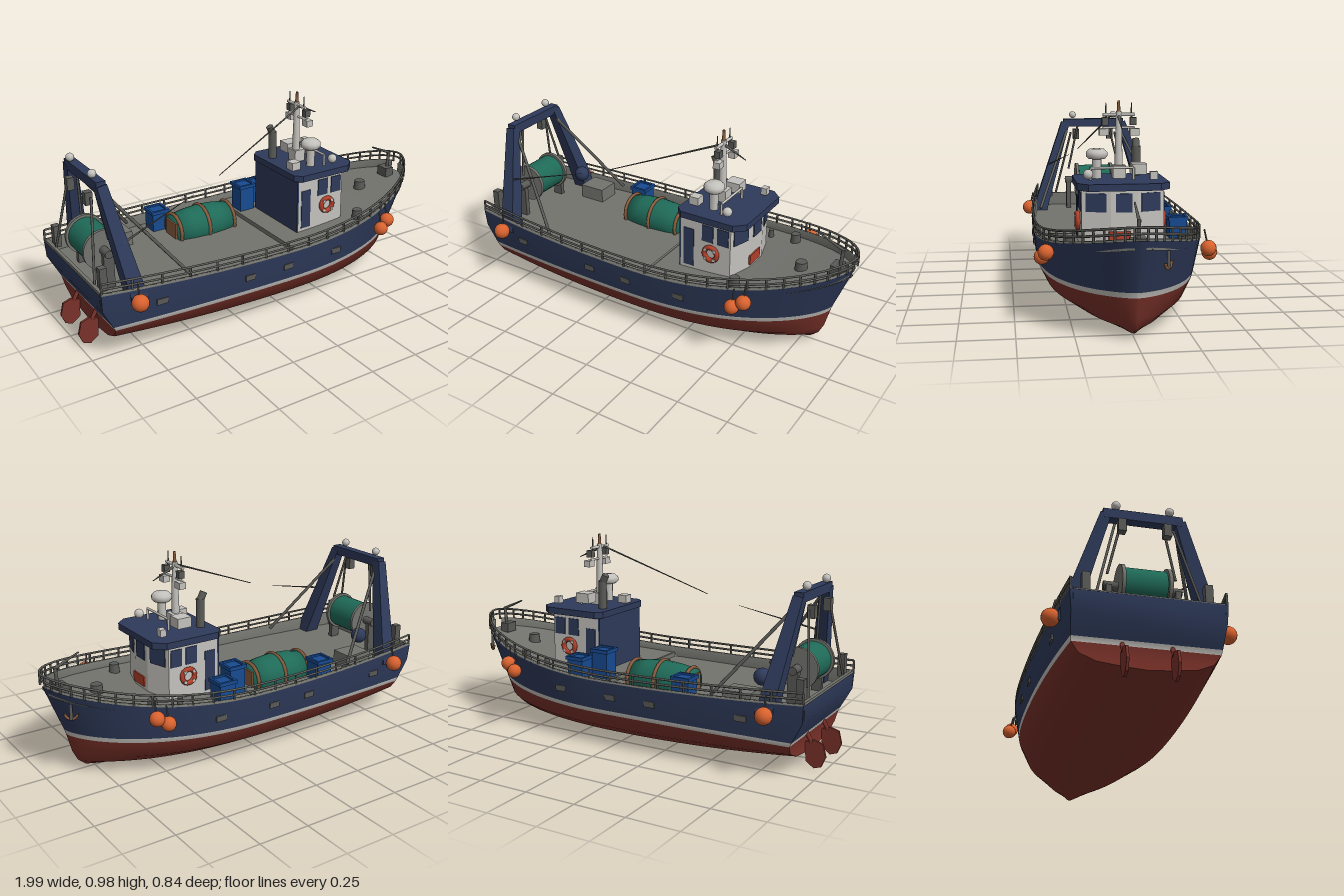
import * as THREE from 'three';

const paint = (name, color, side = THREE.FrontSide) => new THREE.MeshStandardMaterial({ name, color, side });
const V = (x, y, z) => new THREE.Vector3(x, y, z);

// Hull rows from keel to sheer: [xStern, xBow, yStern, yMid, yBow, halfBeam, bowFullness]
const ROWS = [
  [-0.90, 0.76, 0.060, 0.010, 0.015, 0, 0.7],
  [-0.90, 0.80, 0.067, 0.020, 0.020, 0.12, 0.75],
  [-0.90, 0.835, 0.080, 0.045, 0.050, 0.25, 0.75],
  [-0.90, 0.86, 0.110, 0.095, 0.100, 0.335, 0.7],
  [-0.905, 0.885, 0.155, 0.170, 0.197, 0.372, 0.66],
  [-0.915, 0.893, 0.175, 0.190, 0.222, 0.376, 0.65],
  [-0.965, 0.935, 0.270, 0.260, 0.330, 0.387, 0.62],
  [-0.97, 0.985, 0.355, 0.333, 0.460, 0.395, 0.6],
];
const TOP = ROWS.length - 1;

function hullPoint(row, t, side = 1) {
  const [x0, x1, ys, ym, yb, w, q] = ROWS[row];
  const s = Math.abs(2 * t - 1);
  const y = ym + ((t < 0.5 ? ys : yb) - ym) * s * s;
  const f = t < 0.5 ? 1 - 0.16 * s * s : Math.pow(Math.max(0, 1 - Math.pow(s, 2.4)), q);
  return V(x0 + (x1 - x0) * t, y, side * w * f);
}

// Surface over a grid of stations (i) and strips (j), one material group per strip
function grid(ni, nj, point, matOf = () => 0) {
  const pos = [], idx = [], g = new THREE.BufferGeometry();
  for (let i = 0; i <= ni; i++) for (let j = 0; j <= nj; j++) pos.push(...point(i / ni, j).toArray());
  for (let j = 0; j < nj; j++) {
    g.addGroup(idx.length, ni * 6, matOf(j));
    for (let i = 0; i < ni; i++) {
      const a = i * (nj + 1) + j, b = a + nj + 1;
      idx.push(a, b, a + 1, b, b + 1, a + 1);
    }
  }
  g.setAttribute('position', new THREE.Float32BufferAttribute(pos, 3));
  g.setIndex(idx);
  g.computeVertexNormals();
  return g;
}

export function createModel() {
  const navy = paint('navy paint', 0x2e3a5a), red = paint('antifouling red', 0x7a3129);
  const white = paint('white paint', 0xc4c2bd), deckGrey = paint('deck grey', 0x73736e, THREE.DoubleSide);
  const metal = paint('dark metal', 0x595a56), orange = paint('fender orange', 0xd9622f);
  const green = paint('net green', 0x1f6a58), blue = paint('crate blue', 0x174a90);
  const brown = paint('rope brown', 0x8a5c3e), scarlet = paint('lifebuoy red', 0xb23f2a);
  const boat = new THREE.Group();
  boat.name = 'fishingBoat';

  const add = (name, geo, mat, x = 0, y = 0, z = 0) => {
    const m = new THREE.Mesh(geo, mat);
    m.name = name;
    m.position.set(x, y, z);
    boat.add(m);
    return m;
  };
  const box = (name, mat, x, y, z, w, h, d) => add(name, new THREE.BoxGeometry(w, h, d), mat, x, y, z);
  const ball = (name, mat, x, y, z, r) => add(name, new THREE.SphereGeometry(r, 18, 12), mat, x, y, z);
  const rod = (name, mat, a, b, r0, r1 = r0, seg = 8) => {
    const dir = b.clone().sub(a);
    let g = new THREE.CylinderGeometry(r1, r0, dir.length(), seg);
    if (seg === 4) { g = g.rotateY(Math.PI / 4).toNonIndexed(); g.computeVertexNormals(); }
    const m = add(name, g, mat);
    m.position.copy(a).add(b).multiplyScalar(0.5);
    m.quaternion.setFromUnitVectors(V(0, 1, 0), dir.normalize());
    return m;
  };
  const both = fn => [1, -1].forEach(fn);

  // Hull shell and transom
  const bandOf = row => (row < 4 ? 0 : row < 5 ? 1 : 2);
  const paints = [red, white, navy];
  const station = u => Math.sin(u * Math.PI / 2);
  add('hull', grid(44, TOP * 2, (u, j) => hullPoint(Math.abs(j - TOP), station(u), j < TOP ? -1 : 1),
    j => bandOf(j < TOP ? TOP - 1 - j : j - TOP)), paints);
  add('transom', grid(1, TOP, (u, j) => hullPoint(j, 0, u ? 1 : -1), bandOf), paints);

  // Bulwark cap and lining, decks
  const deckY = x => (x < 0.05 ? 0.29 : 0.31 + 0.12 * Math.pow((x - 0.05) / 0.95, 2));
  both(s => add('bulwark', grid(44, 3, (u, j) => {
    const p = hullPoint(TOP, station(u) * 0.998, s);
    if (j === 1) p.y += 0.008;
    if (j > 1) { p.z *= 0.955; p.x -= 0.012 * u; p.y += 0.008; }
    if (j === 3) p.y = deckY(p.x) - 0.005;
    return p;
  }), deckGrey));
  const deck = (name, t0, t1, yOf) => add(name, grid(24, 1, (u, j) => {
    const p = hullPoint(TOP, t0 + (t1 - t0) * station(u), j ? -1 : 1);
    p.z *= 0.962;
    p.y = yOf(p.x);
    return p;
  }), deckGrey);
  deck('workDeck', 0.005, 0.525, () => 0.29);
  deck('foredeck', 0.522, 0.99, x => deckY(Math.max(x, 0.051)));
  box('deckStep', deckGrey, 0.055, 0.29, 0, 0.012, 0.045, 0.74);
  box('sternBulwark', deckGrey, -0.958, 0.325, 0, 0.016, 0.075, 0.64);

  // Guard rails
  const railPoint = (t, s, h) => hullPoint(TOP, t, s).add(V(0.004, h, 0)).multiply(V(1, 1, 0.985));
  both(s => {
    for (const h of [0.03, 0.056]) {
      const pts = Array.from({ length: 34 }, (_, i) => railPoint(station(i / 33), s, h));
      add('guardRail', new THREE.TubeGeometry(new THREE.CatmullRomCurve3(pts), 90, 0.0055, 6), metal);
    }
    for (let i = 0; i < 22; i++) {
      const t = Math.sin((i / 22) * Math.PI / 2);
      rod('railPost', metal, railPoint(t, s, 0), railPoint(t, s, 0.056), 0.0055, 0.0055, 6);
    }
    // Freeing ports
    [-0.69, -0.24, -0.025, 0.27].forEach(x => {
      const p = hullPoint(6, (x + 0.965) / 1.9, s);
      box('freeingPort', metal, x, 0.262, p.z + s * 0.001, 0.055, 0.028, 0.009);
    });
    // Round fenders with lanyards
    [[-0.81, 0.30, 0.382, 0.04], [0.555, 0.31, 0.378, 0.035], [0.605, 0.34, 0.362, 0.036]].forEach(([x, y, z, r]) => {
      ball('fender', orange, x, y, s * z, r);
      rod('fenderLine', metal, V(x, y, s * z), V(x, y + 0.085, s * (z - 0.02)), 0.004);
    });
    // Twin rudders
    const plate = new THREE.Shape([[-0.905, 0.03], [-0.9, 0.12], [-0.94, 0.135], [-0.985, 0.12], [-1, 0.06],
      [-0.98, 0.012], [-0.945, 0]].map(p => new THREE.Vector2(...p)));
    add('rudder', new THREE.ExtrudeGeometry(plate, { depth: 0.012, bevelEnabled: false }), red, 0, 0, s * 0.105 - 0.006);
    rod('rudderStock', red, V(-0.93, 0.12, s * 0.105), V(-0.9, 0.17, s * 0.105), 0.01);
  });

  // Anchor hung on the bow
  const anchor = new THREE.Group();
  anchor.name = 'anchor';
  const fluke = new THREE.Mesh(new THREE.TorusGeometry(0.028, 0.007, 6, 12, Math.PI), brown);
  fluke.rotation.z = Math.PI;
  const shank = new THREE.Mesh(new THREE.CylinderGeometry(0.007, 0.009, 0.075, 8), metal);
  shank.position.y = 0.01;
  anchor.add(fluke, shank);
  anchor.position.set(0.91, 0.355, -0.125);
  anchor.rotation.y = 2.5;
  boat.add(anchor);

  // Wheelhouse with chamfered front corners
  const slab = (name, mat, pts, y, h) => {
    const shape = new THREE.Shape(pts.map(p => new THREE.Vector2(...p)));
    return add(name, new THREE.ExtrudeGeometry(shape, { depth: h, bevelEnabled: false }).rotateX(-Math.PI / 2), mat, 0, y, 0);
  };
  slab('wheelhouse', white, [[0.17, -0.19], [0.44, -0.19], [0.48, -0.06], [0.48, 0.06], [0.44, 0.19], [0.17, 0.19]], 0.29, 0.3);
  slab('wheelhouseRoof', navy, [[0.147, -0.18], [0.18, -0.212], [0.46, -0.212], [0.51, -0.165], [0.51, 0.165],
    [0.46, 0.212], [0.18, 0.212], [0.147, 0.18]], 0.588, 0.032);
  box('aftWall', navy, 0.167, 0.44, 0, 0.009, 0.29, 0.38);
  box('frontWindow', navy, 0.481, 0.53, 0, 0.008, 0.085, 0.076);
  box('frontLocker', scarlet, 0.482, 0.375, 0.02, 0.009, 0.05, 0.1);
  both(s => {
    box('sideWindow', navy, 0.318, 0.528, s * 0.19, 0.06, 0.085, 0.008);
    box('sideWindow', navy, 0.4, 0.528, s * 0.19, 0.06, 0.085, 0.008);
    box('sideDoor', navy, 0.215, 0.43, s * 0.19, 0.055, 0.2, 0.006);
    const w = box('cornerWindow', navy, 0.4605, 0.53, s * 0.125, 0.008, 0.085, 0.095);
    w.rotation.y = -s * Math.atan2(0.04, 0.13);
    add('lifebuoy', new THREE.TorusGeometry(0.034, 0.012, 10, 24), scarlet, 0.34, 0.43, s * 0.2);
    for (let k = 0; k < 4; k++) {
      const a = k * Math.PI / 2 + 0.78;
      box('lifebuoyBand', white, 0.34 + 0.034 * Math.cos(a), 0.43 + 0.034 * Math.sin(a), s * 0.2, 0.014, 0.014, 0.027);
    }
  });

  // Roof gear: radar, exhaust, lamps and rail
  add('radarDome', new THREE.LatheGeometry([[0, -0.022], [0.04, -0.022], [0.05, -0.01], [0.05, 0.008], [0.035, 0.022], [0, 0.026]]
    .map(p => new THREE.Vector2(...p)), 24), white, 0.3, 0.735, 0.105);
  rod('radarStand', white, V(0.3, 0.62, 0.105), V(0.3, 0.715, 0.105), 0.022);
  rod('exhaust', metal, V(0.205, 0.6, -0.095), V(0.205, 0.76, -0.095), 0.021, 0.021, 16);
  rod('exhaustTip', metal, V(0.205, 0.75, -0.095), V(0.185, 0.79, -0.095), 0.018, 0.018, 16);
  box('roofBox', white, 0.31, 0.665, -0.09, 0.075, 0.05, 0.07);
  rod('roofRail', white, V(0.36, 0.675, -0.06), V(0.36, 0.675, 0.14), 0.006);
  both(s => rod('roofRailPost', white, V(0.36, 0.615, 0.04 + s * 0.1), V(0.36, 0.675, 0.04 + s * 0.1), 0.006));
  ball('roofDome', white, 0.4, 0.652, 0.155, 0.023);
  box('searchlight', white, 0.445, 0.65, -0.14, 0.03, 0.035, 0.035);
  box('roofVent', white, 0.2, 0.64, 0.1, 0.05, 0.04, 0.05);

  // Mast
  rod('mast', white, V(0.285, 0.61, 0), V(0.285, 0.93, 0), 0.021, 0.013, 14);
  rod('mastHead', brown, V(0.285, 0.93, 0), V(0.285, 0.98, 0), 0.009, 0.006);
  box('mastFoot', white, 0.29, 0.65, 0, 0.06, 0.06, 0.06);
  rod('crossTree', white, V(0.285, 0.915, -0.075), V(0.285, 0.915, 0.075), 0.008);
  rod('mastBoom', metal, V(0.285, 0.91, 0), V(0.405, 0.855, 0), 0.008, 0.002);
  both(s => {
    rod('antenna', metal, V(0.285, 0.9, s * 0.06), V(0.285, 0.97, s * 0.06), 0.005, 0.002);
    box('mastLamp', metal, 0.295, 0.885, s * 0.066, 0.03, 0.035, 0.03);
    box('floodlight', white, 0.3, 0.836, s * 0.072, 0.035, 0.032, 0.044);
    rod('lampArm', white, V(0.285, 0.855, 0), V(0.29, 0.855, s * 0.075), 0.006);
  });

  // Stay wire sections
  rod('stayWire', metal, V(0.28, 0.915, 0.03), V(-0.26, 0.7, 0.145), 0.005, 0.002, 6);
  rod('stayWire', metal, V(-0.82, 0.55, 0.27), V(-0.42, 0.65, 0.18), 0.005, 0.001, 6);

  // Stern gantry
  const gantryTop = s => V(-0.87, 0.79, s * 0.165);
  rod('gantryBeam', navy, gantryTop(1).add(V(0, 0, 0.012)), gantryTop(-1).add(V(0, 0, -0.012)), 0.032, 0.032, 4);
  both(s => {
    rod('gantryLeg', navy, V(-0.795, 0.28, s * 0.325), gantryTop(s), 0.056, 0.034, 4);
    rod('gantryBrace', metal, V(-0.845, 0.74, s * 0.16), V(-0.53, 0.34, s * 0.33), 0.008);
    rod('gantryStay', metal, V(-0.9, 0.73, s * 0.13), V(-0.95, 0.36, s * 0.22), 0.006);
    rod('gantryFall', metal, V(-0.87, 0.78, s * 0.09), V(-0.84, 0.52, s * 0.15), 0.006);
    ball('gantryLamp', white, -0.885, 0.835, s * 0.12, 0.02);
    box('gantryBlock', metal, -0.905, 0.72, s * 0.1, 0.035, 0.06, 0.035);
    box('reelStand', metal, -0.85, 0.36, s * 0.15, 0.05, 0.18, 0.025);
    box('sternBollard', metal, -0.93, 0.4, s * 0.26, 0.035, 0.11, 0.035);
  });

  // Net reel on the stern
  const zDisc = (name, mat, z, r, h) => add(name, new THREE.CylinderGeometry(r, r, h, 28).rotateX(Math.PI / 2), mat, -0.85, 0.455, z);
  zDisc('reelNet', green, 0, 0.085, 0.18);
  zDisc('reelAxle', metal, 0, 0.02, 0.34);
  both(s => zDisc('reelFlange', deckGrey, s * 0.1, 0.097, 0.016));
  ball('winchMotor', navy, -0.72, 0.42, -0.2, 0.04);
  box('winchHousing', deckGrey, -0.64, 0.325, -0.24, 0.14, 0.075, 0.12);

  // Net bundle on deck with rope bands
  add('netBundle', new THREE.LatheGeometry([[0, -0.165], [0.08, -0.165], [0.094, -0.08], [0.1, 0], [0.094, 0.08], [0.08, 0.165], [0, 0.165]]
    .map(p => new THREE.Vector2(...p)), 20).rotateZ(Math.PI / 2), green, -0.19, 0.318, -0.165);
  [[-0.155, 0.085], [0, 0.1], [0.155, 0.085]].forEach(([x, r]) =>
    add('ropeBand', new THREE.TorusGeometry(r, 0.009, 6, 24).rotateY(Math.PI / 2), brown, -0.19 + x, 0.318, -0.165));
  both(s => box('bundleEnd', brown, -0.19 + s * 0.168, 0.32, -0.165, 0.012, 0.1, 0.1));

  // Open fish crates
  [[0.11, 0.375, -0.23, 0.14], [0.21, 0.36, -0.295, 0.1], [-0.375, 0.34, -0.295, 0.1]].forEach(([x, y, z, h]) => {
    box('fishCrate', blue, x, y, z, 0.085, h, 0.085);
    both(s => {
      box('crateRim', blue, x + s * 0.043, y + h / 2, z, 0.012, 0.018, 0.098);
      box('crateRim', blue, x, y + h / 2, z + s * 0.043, 0.098, 0.018, 0.012);
    });
  });

  // Foredeck fittings
  [[0.72, 0, 0.032, 0.04], [0.57, -0.26, 0.026, 0.045], [0.5, 0.25, 0.028, 0.045], [0.43, -0.27, 0.015, 0.04]].forEach(([x, z, r, h]) =>
    rod('deckVent', metal, V(x, deckY(x) - 0.01, z), V(x, deckY(x) + h, z), r, r * 0.85, 16));
  box('windlass', metal, 0.9, 0.43, 0, 0.05, 0.05, 0.07);
  rod('bowDavit', metal, V(0.91, 0.43, 0), V(0.92, 0.535, 0), 0.009);
  rod('bowDavitArm', metal, V(0.925, 0.53, 0), V(0.8, 0.585, 0), 0.008, 0.004);
  return boat;
}
